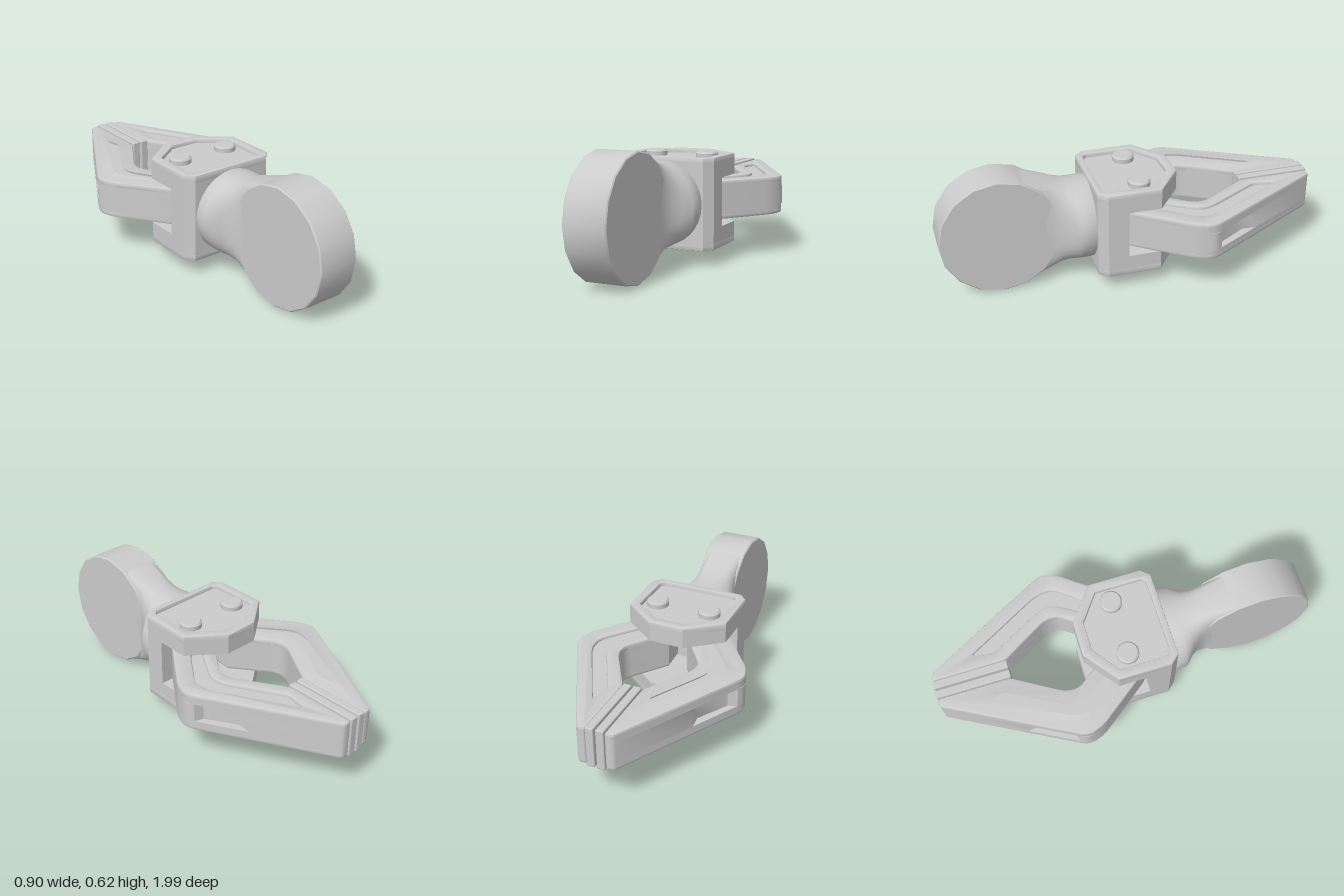
import * as THREE from 'three';
import { toCreasedNormals } from 'three/addons/utils/BufferGeometryUtils.js';
import { RoundedBoxGeometry } from 'three/addons/geometries/RoundedBoxGeometry.js';

const MID = 0.315; // height of the symmetry plane
const material = new THREE.MeshStandardMaterial({ color: 0xcccccc, side: THREE.DoubleSide });

function add(parent, name, geometry) {
  const mesh = new THREE.Mesh(geometry, material);
  mesh.name = name;
  parent.add(mesh);
  return mesh;
}

// Closed outline from [x, y, cornerRadius] points, optionally mirrored in x
function outline(points, side = 1, Type = THREE.Shape) {
  const path = new Type();
  const n = points.length;
  points.forEach(([px, py, r = 0], i) => {
    const p = new THREE.Vector2(px * side, py);
    const toward = (q) => {
      const d = new THREE.Vector2(q[0] * side, q[1]).sub(p);
      return d.setLength(Math.min(r, d.length() * 0.45)).add(p);
    };
    const a = r ? toward(points[(i + n - 1) % n]) : p;
    if (i) path.lineTo(a.x, a.y); else path.moveTo(a.x, a.y);
    if (r) {
      const b = toward(points[(i + 1) % n]);
      path.quadraticCurveTo(p.x, p.y, b.x, b.y);
    }
  });
  path.closePath();
  return path;
}

// Plan outline (x, -z) extruded from y0 up to y1
function slab(points, y0, y1, { side = 1, bevel = 0, hole } = {}) {
  const shape = outline(points, side);
  if (hole) shape.holes.push(outline(hole, side, THREE.Path));
  const g = new THREE.ExtrudeGeometry(shape, {
    depth: y1 - y0 - 2 * bevel, curveSegments: 5, bevelEnabled: bevel > 0,
    bevelThickness: bevel, bevelSize: bevel, bevelOffset: -bevel, bevelSegments: 2,
  });
  g.rotateX(-Math.PI / 2).translate(0, y0 + bevel, 0);
  return toCreasedNormals(g, 0.65);
}

// Round end: sixteen-sided drum with softened edges, axis along x
function drum() {
  const R = 0.312, W = 0.11, b = 0.006;
  const profile = [[0, -W], [R - b, -W], [R, -W + b], [R, W - b], [R - b, W], [0, W]]
    .map(([x, y]) => new THREE.Vector2(x, y));
  const g = new THREE.LatheGeometry(profile, 16).rotateZ(Math.PI / 2).translate(0, MID, 0.688);
  return toCreasedNormals(g, 0.6);
}

// Neck: round flange lofted into the flat-sided drum
function neck() {
  const sections = [ // z, half width, half height, squareness exponent
    [0.21, 0.215, 0.213, 1], [0.225, 0.22, 0.216, 1], [0.28, 0.22, 0.216, 1],
    [0.3, 0.207, 0.218, 0.97], [0.335, 0.165, 0.221, 0.85], [0.38, 0.129, 0.229, 0.65],
    [0.43, 0.111, 0.244, 0.42], [0.57, 0.106, 0.284, 0.15],
  ];
  const N = 32, pos = [], index = [];
  const pow = (v, e) => (Math.abs(v) < 1e-6 ? 0 : Math.sign(v) * Math.abs(v) ** e);
  sections.forEach(([z, w, h, e], j) => {
    for (let i = 0; i < N; i++) {
      const t = (i / N) * Math.PI * 2;
      pos.push(w * pow(Math.cos(t), e), MID + h * pow(Math.sin(t), e), z);
      if (j) {
        const k = (i + 1) % N, a = (j - 1) * N, b = j * N;
        index.push(a + i, a + k, b + k, a + i, b + k, b + i);
      }
    }
  });
  const g = new THREE.BufferGeometry();
  g.setAttribute('position', new THREE.Float32BufferAttribute(pos, 3));
  g.setIndex(index);
  return toCreasedNormals(g, 0.8);
}

const PLATE = [[0.265, 0.1], [0.09, 0.235], [-0.09, 0.235], [-0.265, 0.1],
  [-0.265, -0.175], [-0.225, -0.22], [0.225, -0.22], [0.265, -0.175]];
const RECESS = [[0.215, 0.08], [0.075, 0.183], [-0.075, 0.183], [-0.215, 0.08],
  [-0.215, -0.165], [-0.195, -0.185], [0.195, -0.185], [0.215, -0.165]];
const WALL = [[0.265, -0.07], [-0.265, -0.07], ...PLATE.slice(4)];

// Forked bracket: back wall and two plates with sunken outer faces
function bracket() {
  const g = new THREE.Group();
  g.name = 'bracket';
  add(g, 'bracketWall', slab(WALL, 0.18, 0.45));
  add(g, 'upperPlate', slab(PLATE, 0.44, 0.528));
  add(g, 'upperRim', slab(PLATE, 0.505, 0.549, { bevel: 0.007, hole: RECESS }));
  add(g, 'lowerPlate', slab(PLATE, 0.102, 0.19));
  add(g, 'lowerRim', slab(PLATE, 0.081, 0.125, { bevel: 0.007, hole: RECESS }));
  return g;
}

// Pivot pin with chamfered heads and a collar in the gap
function pin() {
  const profile = [[0, -0.245], [0.049, -0.245], [0.057, -0.236], [0.057, -0.2], [0.045, -0.2],
    [0.045, 0.2], [0.057, 0.2], [0.057, 0.236], [0.049, 0.245], [0, 0.245]]
    .map(([x, y]) => new THREE.Vector2(x, y));
  return toCreasedNormals(new THREE.LatheGeometry(profile, 20), 0.6);
}

const ARM_BASE = [[0.05, 0.09], [0.06, -0.07, 0.04], [0.2, -0.07, 0.04], [0.428, 0.232, 0.04], [0.456, 0.32, 0.05]];
const ARM_TIP = [[0.09, 0.99, 0.015], [0.05, 0.99, 0.008], [0.05, 0.61, 0.02],
  [0.198, 0.365, 0.04], [0.203, 0.295, 0.04]];
const ARM = [...ARM_BASE, ...ARM_TIP];
// Same outline with the pocket cut into the outer flank
const ARM_POCKET = [...ARM_BASE, [0.434, 0.36], [0.388, 0.375], [0.296, 0.53], [0.303, 0.6], ...ARM_TIP];
// Bent shallow channel on top and underside
const CHANNEL = [[0.12, 0.06, 0.02], [0.2, 0.08, 0.02], [0.355, 0.28, 0.05], [0.345, 0.37, 0.05],
  [0.125, 0.77, 0.02], [0.105, 0.66, 0.02], [0.268, 0.365, 0.05], [0.268, 0.29, 0.05]];

// Jaw: stacked layers give the flank pocket and the channels
function jaw(side) {
  const g = new THREE.Group();
  g.name = side > 0 ? 'leftJaw' : 'rightJaw';
  add(g, 'jawCore', slab(ARM_POCKET, 0.266, 0.364, { side }));
  add(g, 'jawUpperBody', slab(ARM, 0.364, 0.4, { side }));
  add(g, 'jawLowerBody', slab(ARM, 0.23, 0.266, { side }));
  add(g, 'jawUpperRim', slab(ARM, 0.38, 0.415, { side, bevel: 0.01, hole: CHANNEL }));
  add(g, 'jawLowerRim', slab(ARM, 0.215, 0.25, { side, bevel: 0.01, hole: CHANNEL }));
  // Gripping pad on the inner face
  add(g, 'gripPad', new RoundedBoxGeometry(0.042, 0.212, 0.388, 2, 0.006))
    .position.set(0.026 * side, MID, -0.8);
  add(g, 'pivotPin', pin()).position.set(0.143 * side, MID, -0.018);
  return g;
}

export function createModel() {
  const model = new THREE.Group();
  model.name = 'clamp';
  add(model, 'roundEnd', drum());
  add(model, 'neck', neck());
  model.add(bracket(), jaw(1), jaw(-1));
  return model;
}
